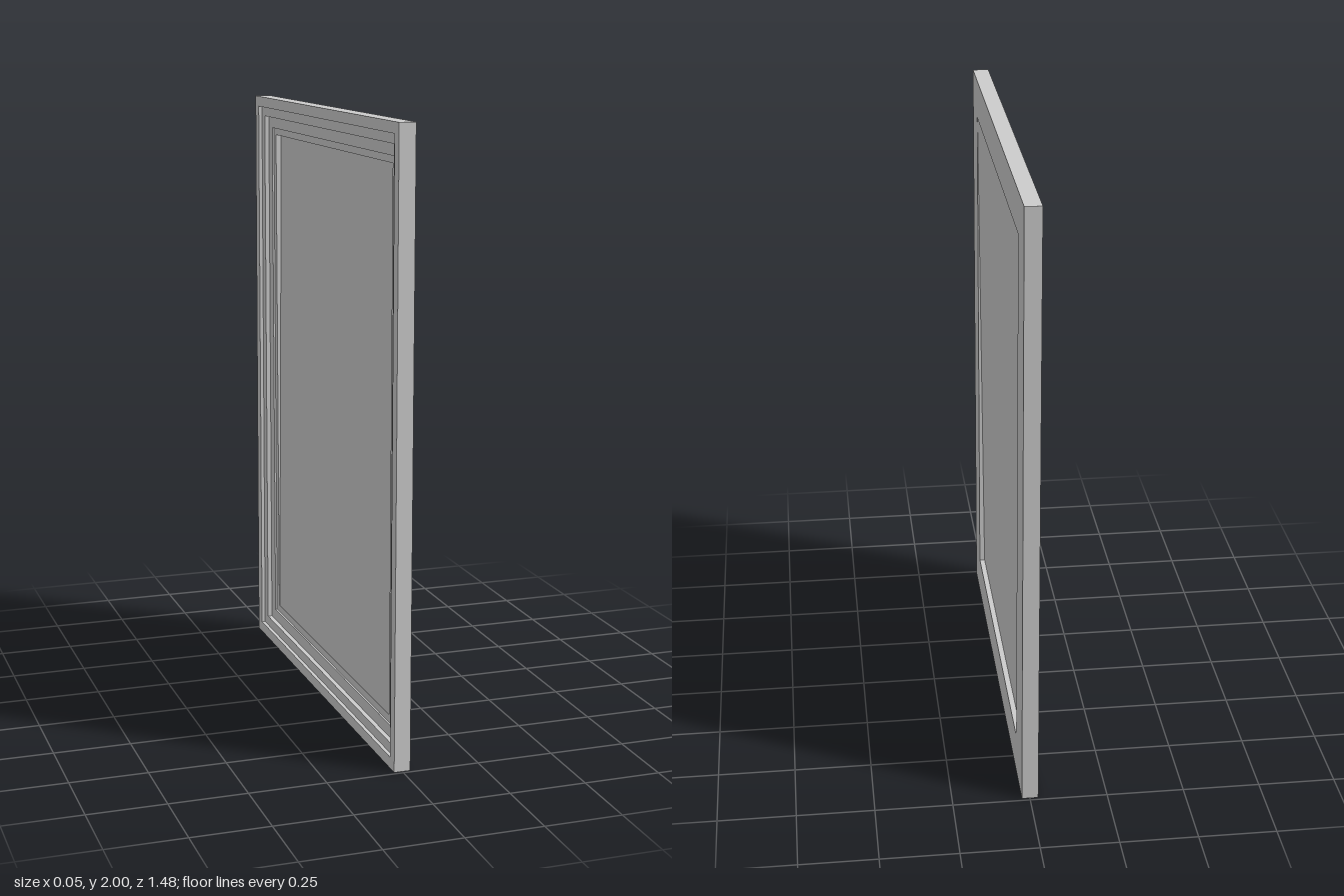
import * as THREE from 'three';

// Corners [z, y], counter-clockwise seen from +x
const OUTER = [[0.74, 0], [-0.74, 0], [-0.73, 2], [0.74, 2]];
const OPENING = [[0.6, 0.135], [-0.58, 0.135], [-0.59, 1.87], [0.6, 1.87]];

// Corner i at fraction t of the way from the outer edge to the opening
function corner(i, t, x) {
  const [z0, y0] = OUTER[i % 4], [z1, y1] = OPENING[i % 4];
  return [x, y0 + (y1 - y0) * t, z0 + (z1 - z0) * t];
}

function quads(list) {
  const pos = [];
  for (const [a, b, c, d] of list) pos.push(...a, ...b, ...c, ...a, ...c, ...d);
  const geo = new THREE.BufferGeometry();
  geo.setAttribute('position', new THREE.Float32BufferAttribute(pos, 3));
  geo.computeVertexNormals();
  return geo;
}

export function createModel() {
  const group = new THREE.Group();
  group.name = 'framedPanel';
  const material = new THREE.MeshStandardMaterial({ color: 0xcccccc, flatShading: true });

  // Frame: closed moulding profile [t, x] swept round the four corners
  const profile = [
    [1, 0.026], [0, 0.026], [0, -0.027], [0.27, -0.027], [0.27, -0.015],
    [0.52, -0.015], [0.52, 0], [0.82, 0], [0.82, 0.006], [1, 0.006],
  ];
  const sides = [];
  profile.forEach(([t0, x0], k) => {
    const [t1, x1] = profile[(k + 1) % profile.length];
    for (let i = 0; i < 4; i++) {
      sides.push([corner(i, t0, x0), corner(i, t1, x1), corner(i + 1, t1, x1), corner(i + 1, t0, x0)]);
    }
  });
  const frame = new THREE.Mesh(quads(sides), material);
  frame.name = 'frame';

  // Panel: thin sheet leaning across the opening, flush with the frame at the top
  const lean = [0.008, 0.008, 0.025, 0.025];
  const panel = new THREE.Mesh(quads([lean.map((x, i) => corner(i, 1, x))]), material.clone());
  panel.material.side = THREE.DoubleSide;
  panel.name = 'panel';

  group.add(frame, panel);
  return group;
}
